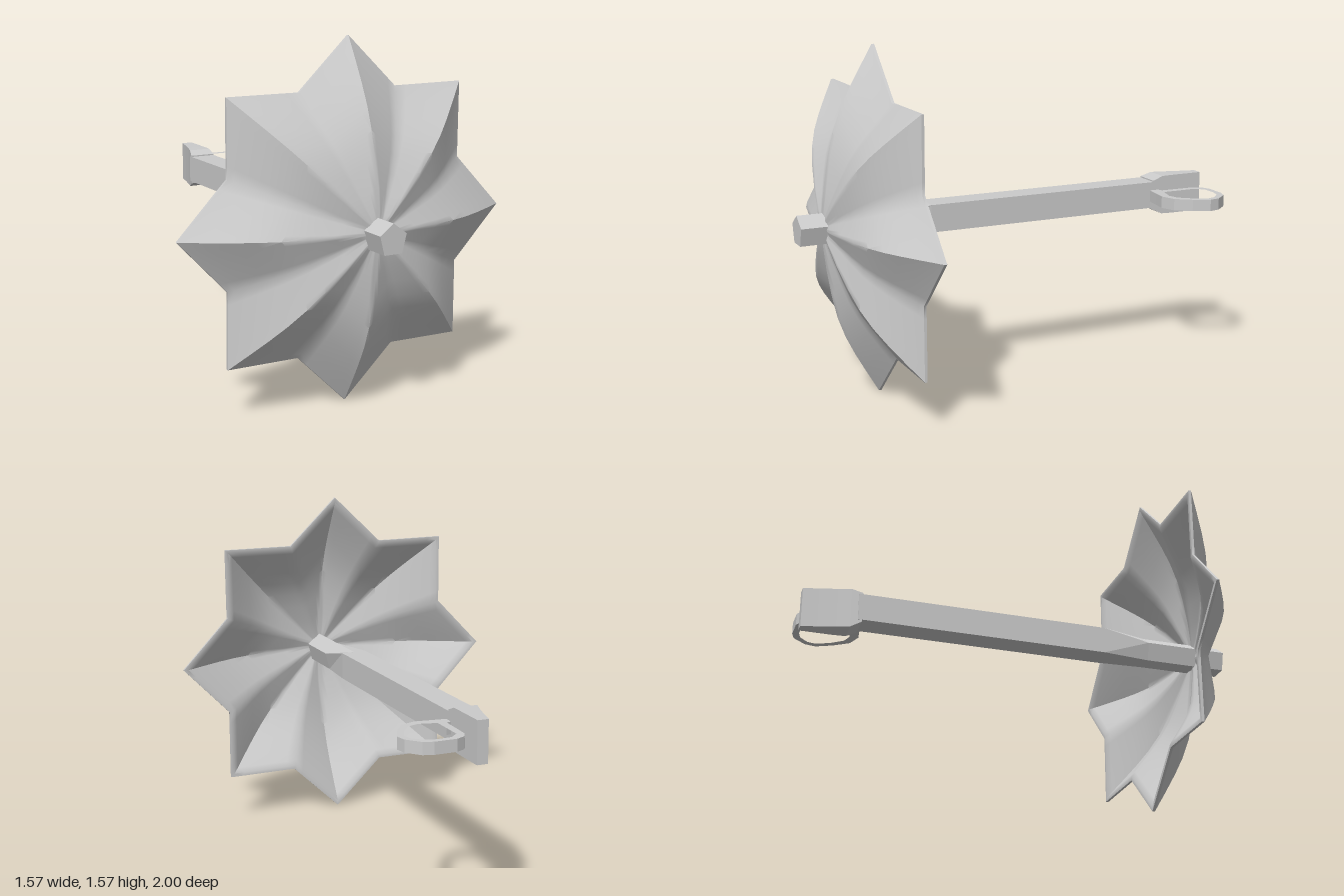
import * as THREE from 'three';
import { toCreasedNormals } from 'three/addons/utils/BufferGeometryUtils.js';

const CY = 0.785; // height of the shaft axis
const smooth = new THREE.MeshStandardMaterial({ color: 0xcccccc });
const flat = new THREE.MeshStandardMaterial({ color: 0xcccccc, flatShading: true });

// Skin a run of closed cross-sections (counter-clockwise from the front), capped at both ends
function loft(sections) {
  const n = sections[0].length, index = [];
  for (let s = 0; s < sections.length - 1; s++) {
    for (let i = 0; i < n; i++) {
      const j = (i + 1) % n;
      const a = s * n + i, b = s * n + j, c = b + n, d = a + n;
      index.push(a, d, c, a, c, b);
    }
  }
  const last = (sections.length - 1) * n;
  for (let i = 1; i < n - 1; i++) {
    index.push(0, i, i + 1, last, last + i + 1, last + i);
  }
  const geometry = new THREE.BufferGeometry();
  geometry.setAttribute('position', new THREE.Float32BufferAttribute(sections.flat(2), 3));
  geometry.setIndex(index);
  geometry.computeVertexNormals();
  return geometry;
}

function addMesh(group, name, geometry, material) {
  const mesh = new THREE.Mesh(geometry, material);
  mesh.name = name;
  group.add(mesh);
}

// Fluted eight-pointed bowl: dome profile scaled out to a star outline
function canopyGeometry() {
  const SUB = 6, outline = [];
  const corner = (k) => {
    const r = k % 2 ? 0.608 : (k % 4 ? 0.796 : 0.785);
    const a = k * Math.PI / 8;
    return [r * Math.cos(a), r * Math.sin(a)];
  };
  for (let k = 0; k < 16; k++) {
    const p = corner(k), q = corner(k + 1);
    for (let i = 0; i < SUB; i++) {
      const f = i / SUB;
      const valley = k % 2 ? 1 - f : f;
      outline.push([p[0] + (q[0] - p[0]) * f, p[1] + (q[1] - p[1]) * f, valley]);
    }
  }
  const profile = [[0.02, 0.886], [0.12, 0.884], [0.25, 0.872], [0.4, 0.852], [0.53, 0.828],
    [0.65, 0.793], [0.76, 0.75], [0.88, 0.697], [0.96, 0.66], [1, 0.642]];
  const ring = (t, z, scale = 1) => outline.map(([x, y, valley]) => [
    x * t * scale, CY + y * t * scale, z - 0.02 * valley * Math.sin(Math.PI * t)]);
  const outer = profile.map(([t, z]) => ring(t, z));
  const inner = profile.map(([t, z]) => ring(t, z - 0.012 - 0.012 * (1 - t), 0.97)).reverse();
  return toCreasedNormals(loft([...outer, ring(1, 0.63), ...inner]), 0.8);
}

// Shaft: pentagonal at the front, becoming square towards the back
function shaftGeometry() {
  const pentagon = [[0.042, -0.063], [0.063, 0.018], [0, 0.065], [-0.063, 0.018], [-0.042, -0.063]];
  const square = [[0.062, -0.06], [0.062, 0.065], [0, 0.065], [-0.06, 0.065], [-0.06, -0.06]];
  const at = (shape, z) => shape.map(([x, y]) => [x, CY + y, z]);
  return loft([at(pentagon, 1), at(pentagon, 0.62), at(square, 0.4), at(square, -0.76)]);
}

// Flared tail block, cut away to a thin upright plate at the back
function tailGeometry() {
  const rect = ([z, left, bottom, top]) => [
    [0.062, bottom, z], [0.062, top, z], [left, top, z], [left, bottom, z]];
  return loft([[-0.742, -0.06, 0.715, 0.856], [-0.79, -0.046, 0.692, 0.875],
    [-0.85, -0.026, 0.69, 0.876], [-0.93, -0.004, 0.69, 0.876], [-1, 0.012, 0.69, 0.876]].map(rect));
}

// Flat D-shaped ring with a tab joining it to the tail
function ringGeometry() {
  const points = (list) => list.map(([x, z]) => new THREE.Vector2(x, z));
  const shape = new THREE.Shape(points([[0.05, -0.725], [0.13, -0.715], [0.2, -0.705], [0.27, -0.73],
    [0.32, -0.8], [0.355, -0.875], [0.345, -0.925], [0.295, -0.985], [0.25, -1], [0.15, -1],
    [0.11, -0.98], [0.09, -0.945], [0.085, -0.775], [0.05, -0.765]]));
  shape.holes.push(new THREE.Path(points([[0.122, -0.765], [0.2, -0.745], [0.25, -0.76], [0.295, -0.815],
    [0.325, -0.88], [0.315, -0.92], [0.275, -0.96], [0.23, -0.972], [0.16, -0.97], [0.122, -0.935]])));
  const geometry = new THREE.ExtrudeGeometry(shape, { depth: 0.054, bevelEnabled: false });
  geometry.rotateX(Math.PI / 2);
  geometry.translate(0, 0.811, 0);
  return geometry;
}

export function createModel() {
  const group = new THREE.Group();
  group.name = 'umbrella';
  addMesh(group, 'canopy', canopyGeometry(), smooth);
  addMesh(group, 'shaft', shaftGeometry(), flat);
  addMesh(group, 'tailBlock', tailGeometry(), flat);
  addMesh(group, 'handleRing', ringGeometry(), flat);
  return group;
}
